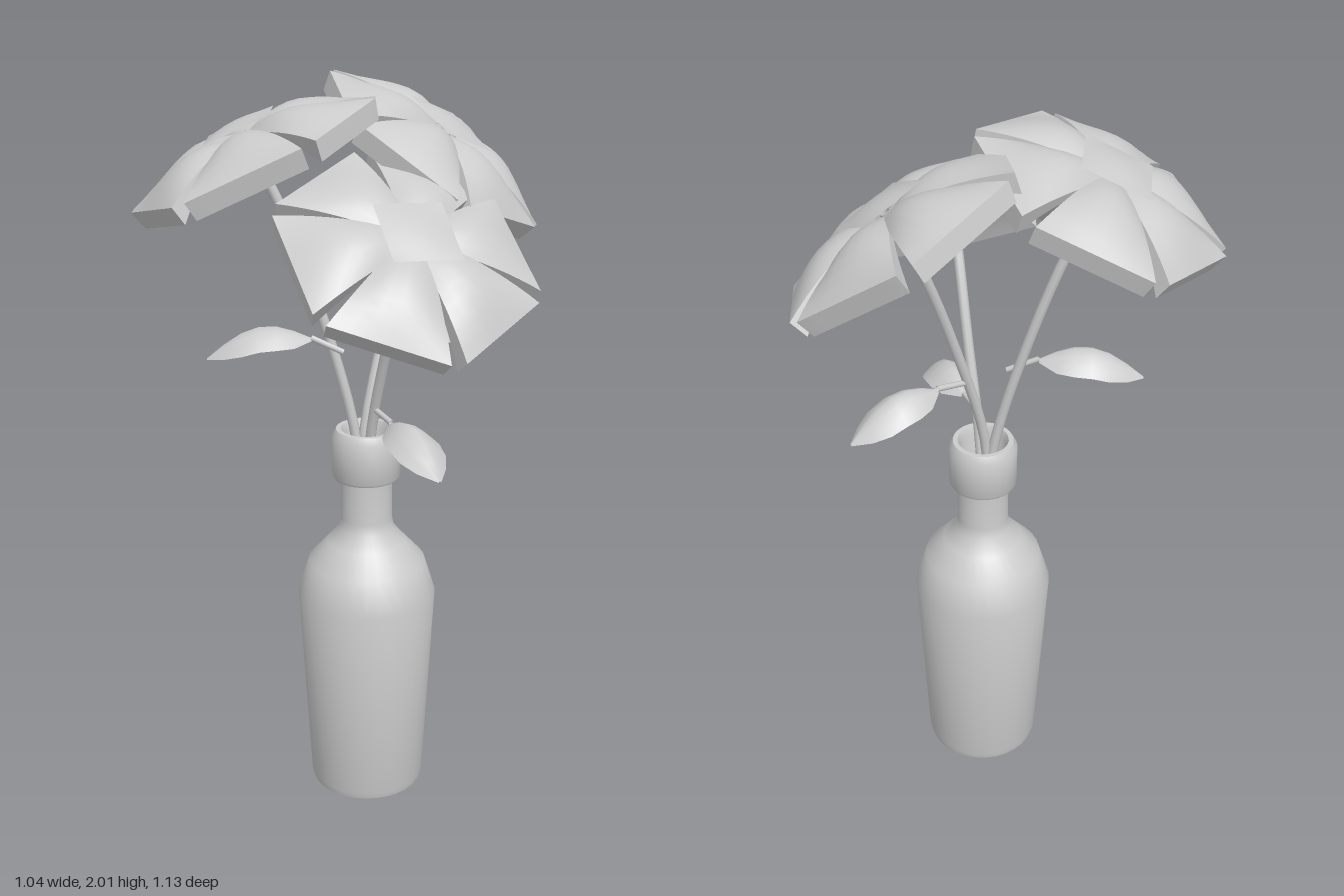
import * as THREE from 'three';
import { toCreasedNormals } from 'three/addons/utils/BufferGeometryUtils.js';
import { ParametricGeometry } from 'three/addons/geometries/ParametricGeometry.js';

const V = (x, y, z) => new THREE.Vector3(x, y, z);
const UP = V(0, 1, 0);
const grey = new THREE.MeshStandardMaterial({ color: 0xcccccc, side: THREE.DoubleSide });

function mesh(name, geometry) {
  const m = new THREE.Mesh(geometry, grey);
  m.name = name;
  return m;
}

// Curved surface from a rule of (u, v), both 0..1
function sheet(rule, nu, nv, crease = 0.7) {
  const g = new ParametricGeometry(rule, nu, nv);
  g.computeVertexNormals();
  return toCreasedNormals(g, crease);
}

// Bottle: one lathe running up the outside and down inside the neck
function bottle() {
  const profile = [
    [0, 0], [0.145, 0], [0.157, 0.008], [0.162, 0.028], [0.193, 0.605],
    [0.163, 0.702], [0.11, 0.76], [0.076, 0.8], [0.071, 0.83], [0.071, 0.95],
    [0.09, 0.95], [0.094, 0.957], [0.094, 1.07], [0.083, 1.09], [0.07, 1.09],
    [0.062, 1.07], [0.058, 0.8], [0, 0.78],
  ].map(([r, y]) => new THREE.Vector2(r, y));
  const m = mesh('bottle', toCreasedNormals(new THREE.LatheGeometry(profile, 32), 0.6));
  m.position.set(0.003, 0, 0.027);
  return m;
}

// Wedge-shaped petal: v runs round a closed section (7 points above, 6 below),
// domed along the middle and thickening towards a straight outer edge
const petalGeometry = sheet((u, v, p) => {
  const k = Math.round(v * 13) % 13;
  const below = k > 6;
  const s = below ? 1 - (k - 7) / 2.5 : k / 3 - 1;
  const t = Math.min(1, u / 0.9);
  const dome = 0.03 * Math.sin(Math.PI * t) * (1 - s * s);
  const drop = (u > 0.99 ? 0.5 : below ? 1 : 0) * (0.012 + 0.04 * t * t);
  const r = 0.03 + 0.277 * t - 0.25 * drop;
  p.set(r, -0.028 - 0.057 * t * t + (below ? 0 : dome) - drop, s * (0.02 + 0.435 * r));
}, 10, 13);

// Square domed heart of the flower
const heartGeometry = sheet((u, v, p) => {
  const a = u * 2 - 1, b = v * 2 - 1;
  p.set(a * 0.092, 0.015 * (1 - a * a) * (1 - b * b) - 0.005, b * 0.092);
}, 6, 6);

function flower(name, { centre, normal, phase, heartTurn }) {
  const g = new THREE.Group();
  g.name = name;
  for (let i = 0; i < 6; i++) {
    const petal = mesh('petal', petalGeometry);
    petal.rotation.y = -THREE.MathUtils.degToRad(phase + i * 60);
    g.add(petal);
  }
  const heart = mesh('flowerHeart', heartGeometry);
  heart.rotation.y = -THREE.MathUtils.degToRad(heartTurn - 45);
  g.add(heart);
  g.position.copy(centre);
  g.quaternion.setFromUnitVectors(UP, normal.clone().normalize());
  return g;
}

function tube(name, points, radius) {
  const curve = new THREE.CatmullRomCurve3(points);
  return mesh(name, new THREE.TubeGeometry(curve, 16, radius, 8));
}

// Leaf: short stalk and a broad blade, folded along its rib and bent down to the tip
function leaf({ base, start, tip }) {
  const g = new THREE.Group();
  g.name = 'leaf';
  g.add(tube('leafStalk', [base, base.clone().lerp(start, 0.5), start], 0.008));
  const across = tip.clone().sub(start).cross(UP).normalize();
  const width = [0.01, 0.05, 0.067, 0.07, 0.065, 0.042, 0.004];
  g.add(mesh('leafBlade', sheet((u, v, p) => {
    const s = v * 2 - 1, w = width[Math.round(u * 6)];
    p.copy(start).lerp(tip, u).addScaledVector(across, s * w);
    p.y += 0.058 * Math.sin(Math.PI * u) - 0.7 * w * Math.abs(s) ** 1.5;
  }, 6, 6, 0.9)));
  return g;
}

export function createModel() {
  const model = new THREE.Group();
  model.name = 'flowersInBottle';
  model.add(bottle());

  const plants = [
    {
      side: 'back',
      bloom: { centre: V(0.028, 1.882, -0.272), normal: V(0.56, 1, -0.4), phase: 0, heartTurn: 50 },
      stem: [V(0, 0.82, 0.045), V(0, 1.09, 0.03), V(0, 1.42, -0.07), V(0, 1.7, -0.18)],
      leaf: { base: V(0, 1.3, -0.03), start: V(0, 1.32, -0.13), tip: V(0.03, 1.24, -0.385) },
    },
    {
      side: 'right',
      bloom: { centre: V(-0.217, 1.91, 0.264), normal: V(-0.34, 1, 0.31), phase: 45, heartTurn: 0 },
      stem: [V(0.005, 0.82, 0.03), V(-0.02, 1.09, 0.05), V(-0.085, 1.42, 0.11), V(-0.15, 1.69, 0.18)],
      leaf: { base: V(-0.03, 1.31, 0.08), start: V(-0.09, 1.35, 0.14), tip: V(-0.27, 1.3, 0.35) },
    },
    {
      side: 'left',
      bloom: { centre: V(0.305, 1.705, 0.15), normal: V(0.7, 1, 0.22), phase: -10, heartTurn: 69 },
      stem: [V(-0.015, 0.82, 0.015), V(0.03, 1.09, 0.035), V(0.11, 1.34, 0.06), V(0.2, 1.55, 0.1)],
      leaf: { base: V(0.045, 1.16, 0.04), start: V(0.14, 1.15, 0.07), tip: V(0.395, 1.085, 0.16) },
    },
  ];
  for (const { side, bloom, stem, leaf: leafSpec } of plants) {
    const end = bloom.centre.clone().addScaledVector(bloom.normal.clone().normalize(), -0.025);
    model.add(flower(side + 'Flower', bloom));
    model.add(tube(side + 'Stem', [...stem, end], 0.014));
    model.add(leaf(leafSpec));
  }
  return model;
}
